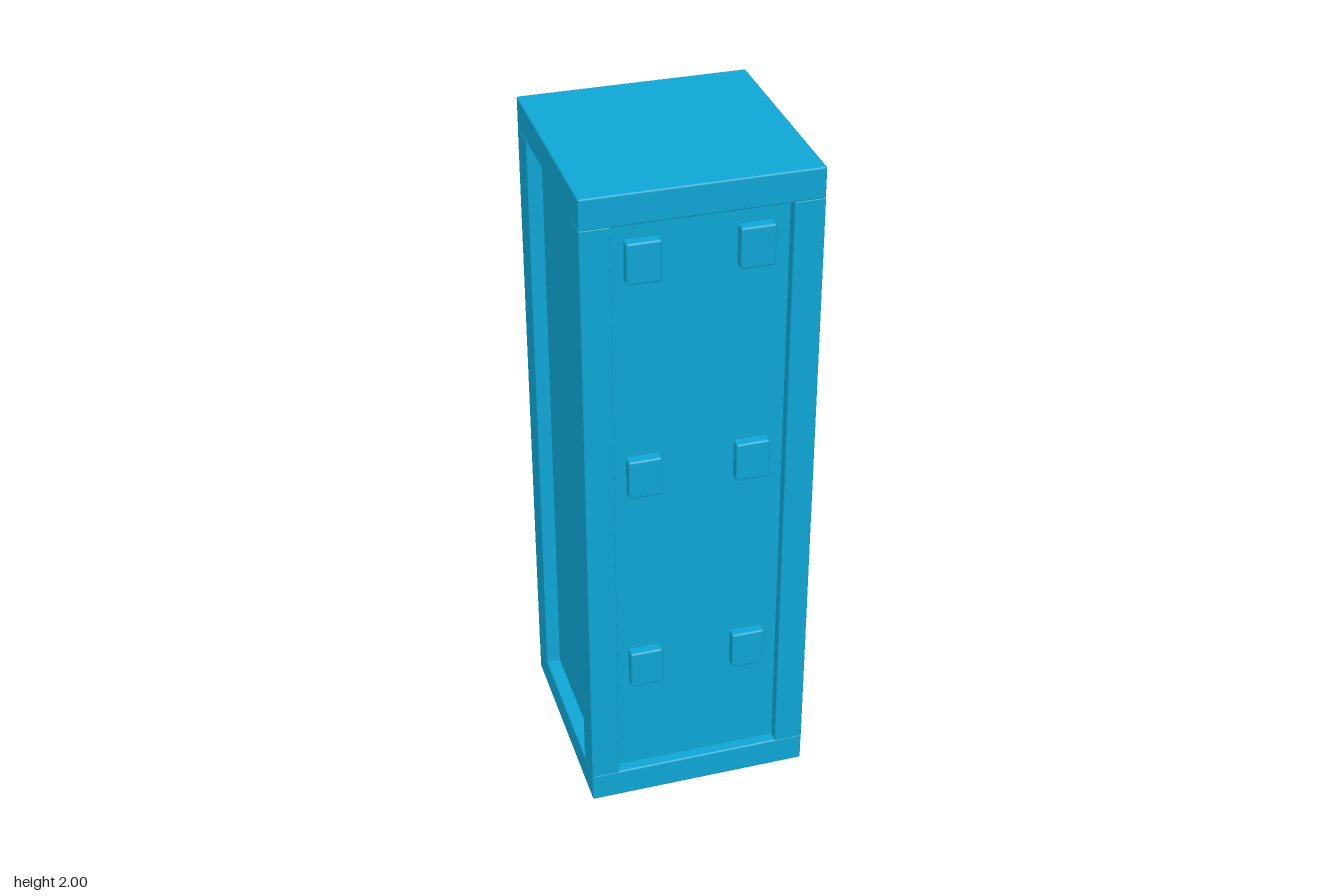
import * as THREE from 'three';
import { RoundedBoxGeometry } from 'three/addons/geometries/RoundedBoxGeometry.js';

export function createModel() {
  const model = new THREE.Group();
  model.name = 'cabinet';
  const blue = new THREE.MeshStandardMaterial({ color: 0x0ea5d4 });

  // Rounded block given by its min/max limits on each axis
  function block(name, [x0, x1], [y0, y1], [z0, z1], radius) {
    const geometry = new RoundedBoxGeometry(x1 - x0, y1 - y0, z1 - z0, 2, radius);
    const mesh = new THREE.Mesh(geometry, blue);
    mesh.position.set((x0 + x1) / 2, (y0 + y1) / 2, (z0 + z1) / 2);
    mesh.name = name;
    model.add(mesh);
  }

  const W = 0.33, FRONT = 0.333, BACK = -0.328;
  const SLAB = 0.09, TOP = 2;

  // Base and top slabs
  block('baseSlab', [-W, W], [0, SLAB], [BACK, FRONT], 0.005);
  block('topSlab', [-W, W], [TOP - SLAB, TOP], [BACK, FRONT], 0.005);

  // Corner posts
  for (const x of [[-W, -0.247], [0.245, W]]) {
    for (const z of [[BACK, -0.23], [0.24, FRONT]]) {
      block('cornerPost', x, [SLAB - 0.002, TOP - SLAB + 0.002], z, 0.003);
    }
  }

  // Recessed body between the posts
  const body = new THREE.Mesh(new THREE.BoxGeometry(0.576, TOP - 2 * SLAB, 0.596), blue);
  body.position.set(0, TOP / 2, 0.002);
  body.name = 'recessedPanels';
  model.add(body);

  // Front buttons: two columns, three rows
  for (const top of [1.855, 1.19, 0.525]) {
    for (const x of [[-0.205, -0.11], [0.103, 0.2]]) {
      block('frontButton', x, [top - 0.12, top], [0.28, 0.33], 0.006);
    }
  }

  // Back buttons: three columns, three rows
  for (const top of [1.873, 1.175, 0.515]) {
    for (const x of [0.187, 0.05, -0.105]) {
      block('backButton', [x - 0.097, x], [top - 0.12, top], [-0.328, -0.28], 0.006);
    }
  }

  // Extra back buttons, standing slightly further out
  for (const top of [0.94, 0.272]) {
    block('lowerBackButton', [-0.23, -0.13], [top - 0.12, top], [-0.333, -0.28], 0.006);
  }

  // Side buttons
  for (const top of [1.19, 0.525]) {
    block('sideButton', [0.27, 0.322], [top - 0.12, top], [-0.193, -0.097], 0.006);
  }

  return model;
}
